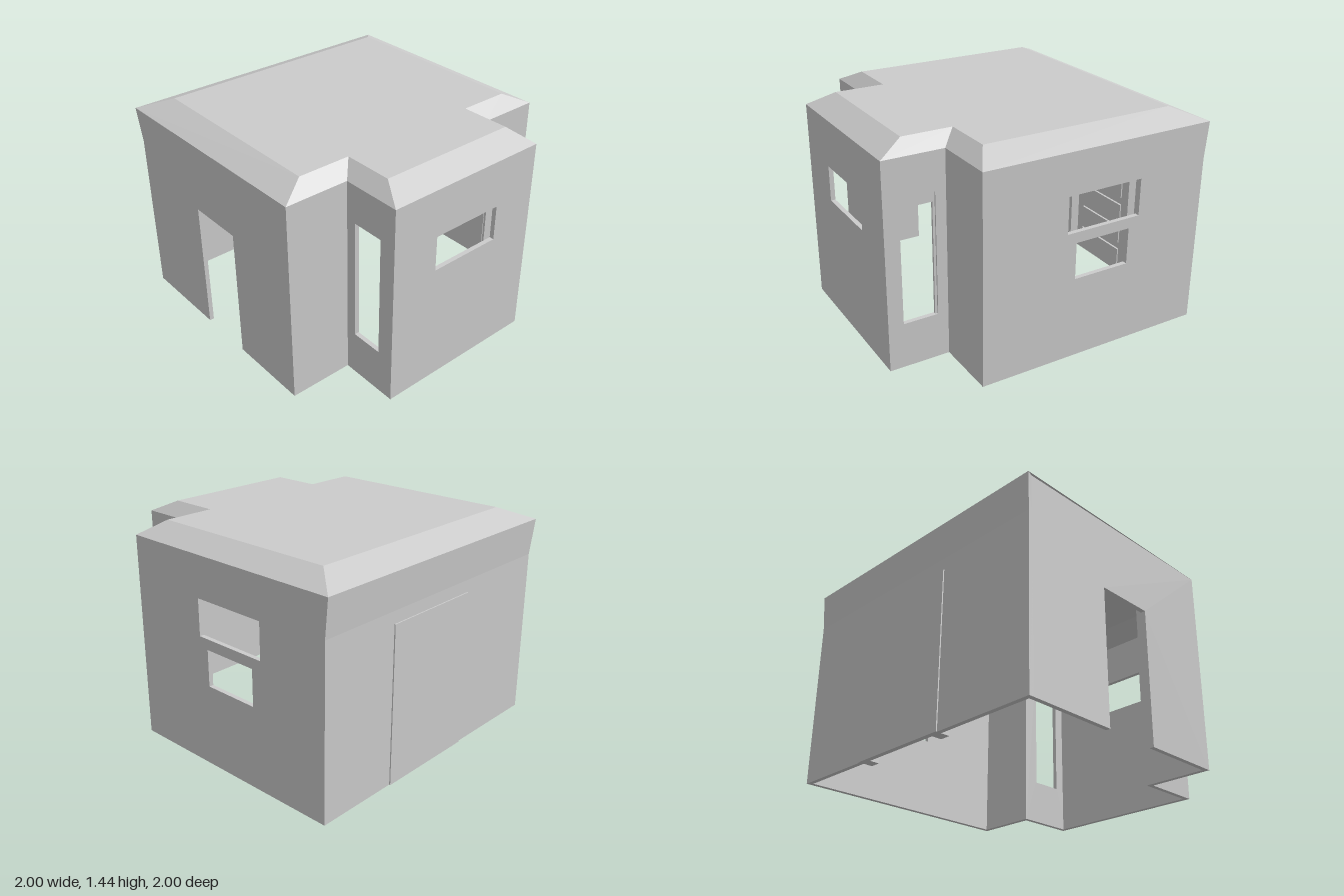
import * as THREE from 'three';
import { ConvexGeometry } from 'three/addons/geometries/ConvexGeometry.js';

const T = 0.03;      // wall thickness
const EAVE = 1.36;   // wall height
const TOP = 1.44;    // flat roof height

const mat = new THREE.MeshStandardMaterial({ color: 0xcccccc, flatShading: true, side: THREE.DoubleSide });

function add(parent, name, geometry) {
  const mesh = new THREE.Mesh(geometry, mat);
  mesh.name = name;
  parent.add(mesh);
  return mesh;
}

// Box given by its limits on each axis
function block(parent, name, x0, x1, y0, y1, z0, z1) {
  const mesh = add(parent, name, new THREE.BoxGeometry(x1 - x0, y1 - y0, z1 - z0));
  mesh.position.set((x0 + x1) / 2, (y0 + y1) / 2, (z0 + z1) / 2);
}

// Wall from a to b, outside on the right hand; openings are [from, to, bottom, top]
function wall(parent, name, a, b, openings = []) {
  const axis = Math.abs(b[0] - a[0]) > Math.abs(b[1] - a[1]) ? 0 : 1;
  const length = Math.abs(b[axis] - a[axis]);
  const outline = [[0, 0]];
  const holes = [];
  for (const [from, to, y0, y1] of openings) {
    const u = [from, to].map(w => Math.abs(w - a[axis])).sort((p, q) => p - q);
    if (y0 === 0) outline.push([u[0], 0], [u[0], y1], [u[1], y1], [u[1], 0]);
    else holes.push([[u[0], y0], [u[0], y1], [u[1], y1], [u[1], y0]]);
  }
  outline.push([length, 0], [length, EAVE], [0, EAVE]);
  const vec = list => list.map(p => new THREE.Vector2(...p));
  const shape = new THREE.Shape(vec(outline));
  holes.forEach(h => shape.holes.push(new THREE.Path(vec(h))));
  const geometry = new THREE.ExtrudeGeometry(shape, { depth: T, bevelEnabled: false });
  geometry.translate(0, 0, -T);
  const mesh = add(parent, name, geometry);
  mesh.position.set(a[0], 0, a[1]);
  mesh.rotation.y = Math.atan2(a[1] - b[1], b[0] - a[0]);
}

// Sloped eaves around a flat top
function roofGeometry() {
  const outer = [[-1, 1], [0.6, 0.985], [0.6, 0.56], [1, 0.56], [1, -0.585], [0.6, -0.585], [0.6, -1], [-1, -1]];
  const inner = [[-0.81, 0.815], [0.5, 0.815], [0.5, 0.465], [0.83, 0.465],
    [0.83, -0.49], [0.5, -0.49], [0.5, -0.83], [-0.81, -0.83]];
  const pos = [];
  const put = (p, y) => pos.push(p[0], y, p[1]);
  outer.forEach((o, i) => {
    const j = (i + 1) % outer.length;
    put(o, EAVE); put(outer[j], EAVE); put(inner[j], TOP);
    put(o, EAVE); put(inner[j], TOP); put(inner[i], TOP);
  });
  const flat = inner.map(p => new THREE.Vector2(p[0], -p[1]));
  for (const tri of THREE.ShapeUtils.triangulateShape(flat, [])) tri.forEach(k => put(inner[k], TOP));
  const geometry = new THREE.BufferGeometry();
  geometry.setAttribute('position', new THREE.Float32BufferAttribute(pos, 3));
  geometry.computeVertexNormals();
  return geometry;
}

export function createModel() {
  const model = new THREE.Group();
  model.name = 'building';

  // Walls, counter-clockwise from the front left corner
  const walls = new THREE.Group();
  walls.name = 'walls';
  model.add(walls);
  const L = -0.98;
  wall(walls, 'frontWall', [L, 0.985], [0.6, 0.985], [[-0.35, 0.04, 0, 0.89]]);
  wall(walls, 'frontReturnWall', [0.6, 0.985], [0.6, 0.56 - T]);
  wall(walls, 'bayFrontWall', [0.6 - T, 0.56], [1, 0.56], [[0.67, 0.885, 0.3, 1.11]]);
  wall(walls, 'bayEndWall', [1, 0.56], [1, -0.585], [[0.23, -0.27, 0.81, 1.045]]);
  wall(walls, 'bayBackWall', [1, -0.585], [0.6 - T, -0.585], [[0.67, 0.9, 0.3, 1.11]]);
  wall(walls, 'backReturnWall', [0.6, -0.585 + T], [0.6, -1]);
  wall(walls, 'backWall', [0.6, -1], [L, -1], [[-0.42, -0.035, 0.54, 0.78], [-0.49, 0.03, 0.85, 1.09]]);
  wall(walls, 'sideWall', [L, -1], [L, 0.985], [[-0.43, 0.28, 0, 1.04]]);

  // Header and jamb set inside the rear bay window
  block(model, 'windowHeader', 0.67, 0.9, 1.045, 1.11, -0.575, -0.56);
  block(model, 'windowJamb', 0.67, 0.685, 0.3, 1.11, -0.575, -0.56);

  // Side wall flaring out to the eave
  const flare = [[L, 1.12, 0.985], [L, 1.12, -1], [-0.96, 1.12, 0.985], [-0.96, 1.12, -1],
    [-1, EAVE, 1], [-1, EAVE, -1], [-0.96, EAVE, 0.985], [-0.96, EAVE, -1]];
  add(model, 'eaveFlare', new ConvexGeometry(flare.map(p => new THREE.Vector3(...p))));

  // Side door: leaf, inner casing and raised panels
  const door = new THREE.Group();
  door.name = 'sideDoor';
  model.add(door);
  block(door, 'doorLeaf', -0.988, -0.955, 0, 1.04, -0.43, 0.28);
  block(door, 'doorPost', -0.96, -0.89, 0, 1.04, -0.43, -0.36);
  block(door, 'doorPost', -0.96, -0.89, 0, 1.04, 0.21, 0.28);
  block(door, 'doorHeader', -0.96, -0.89, 0.95, 1.04, -0.36, 0.21);
  for (let i = 0; i < 5; i++) {
    const y = 0.06 + i * 0.175;
    block(door, 'doorPanel', -0.96, -0.94, y, y + 0.12, -0.29, 0.14);
  }

  // Roof and the ceiling under it
  add(model, 'roof', roofGeometry());
  const ceiling = add(model, 'ceiling', roofGeometry());
  ceiling.scale.set(0.98, 1, 0.98);
  ceiling.position.y = -0.03;

  return model;
}
